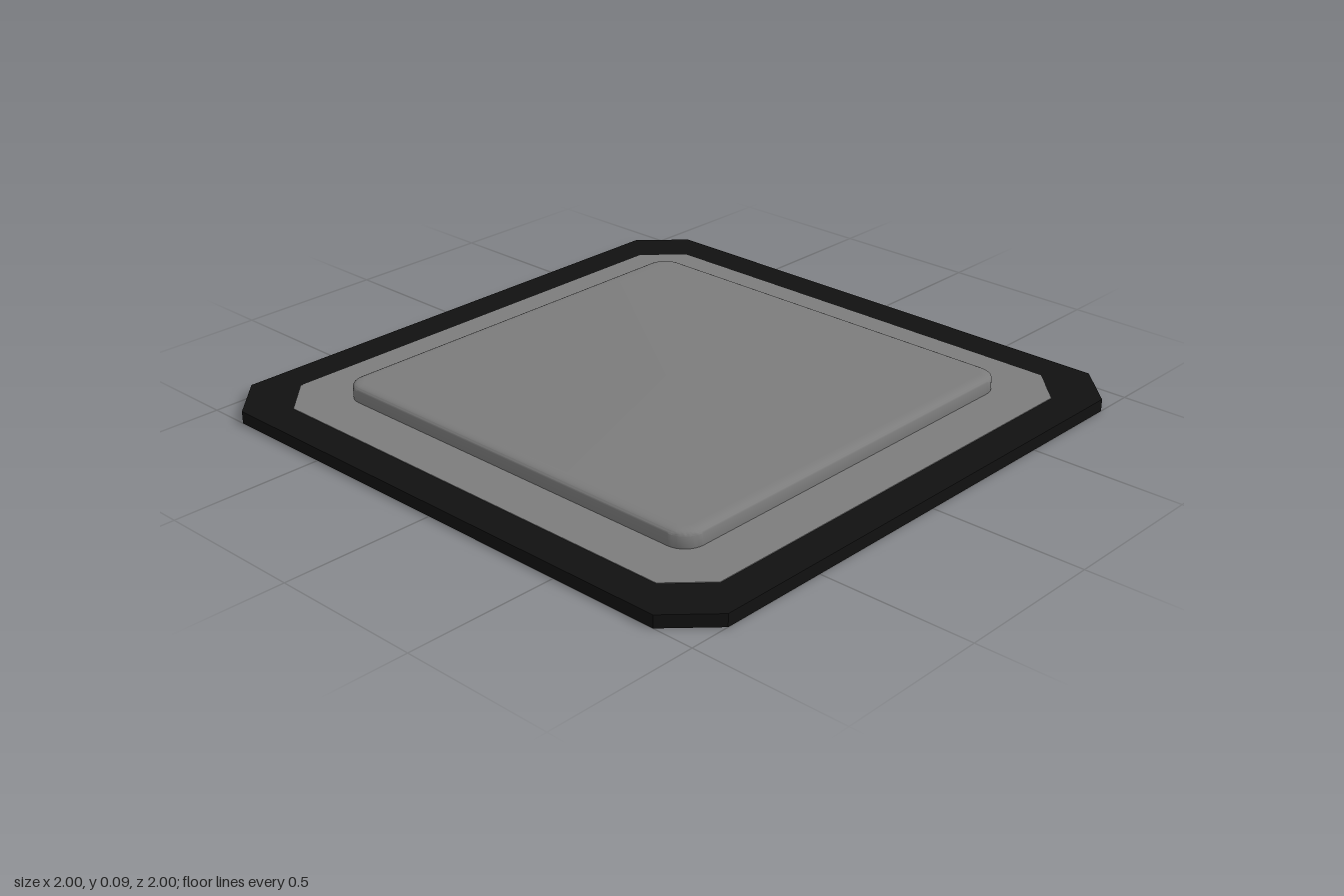
import * as THREE from 'three';
import { toCreasedNormals } from 'three/addons/utils/BufferGeometryUtils.js';

const BLACK = 0x111111, GREY = 0x7c7c7c;

// Square outline with cut corners
function chamferedSquare(half, cut) {
  const pts = [];
  for (let i = 0; i < 4; i++) {
    const turn = i * Math.PI / 2, centre = new THREE.Vector2();
    pts.push(new THREE.Vector2(half, -half + cut).rotateAround(centre, turn));
    pts.push(new THREE.Vector2(half, half - cut).rotateAround(centre, turn));
  }
  return new THREE.Shape(pts);
}

// Square outline with round corners
function roundedSquare(half, radius) {
  const s = new THREE.Shape(), c = half - radius;
  for (let i = 0; i < 4; i++) {
    const a = i * Math.PI / 2;
    const sx = i === 0 || i === 3 ? 1 : -1, sy = i < 2 ? 1 : -1;
    s.absarc(sx * c, sy * c, radius, a, a + Math.PI / 2, false);
  }
  s.closePath();
  return s;
}

// Horizontal slab extruded upwards from y
function slab(name, shape, y, depth, color, bevel = {}) {
  let geometry = new THREE.ExtrudeGeometry(shape, {
    depth, bevelEnabled: false, curveSegments: 8, ...bevel,
  });
  geometry.rotateX(-Math.PI / 2);
  geometry = toCreasedNormals(geometry, Math.PI / 5);
  const mesh = new THREE.Mesh(geometry, new THREE.MeshStandardMaterial({ color }));
  mesh.name = name;
  mesh.position.y = y;
  return mesh;
}

export function createModel() {
  const model = new THREE.Group();
  model.name = 'chipPackage';

  // Thin black board with a grey plate lying almost flush on it
  model.add(slab('base', chamferedSquare(1, 0.135), 0, 0.04, BLACK));
  model.add(slab('plate', chamferedSquare(0.882, 0.118), 0.03, 0.012, GREY));

  // Raised lid with softened top edge; its lower bevel is sunk in the base
  const edge = 0.035, rise = 0.015;
  model.add(slab('lid', roundedSquare(0.72 - edge, 0.07 - edge), 0.03, 0.05, GREY, {
    bevelEnabled: true, bevelSize: edge, bevelThickness: rise, bevelSegments: 5,
  }));
  return model;
}
